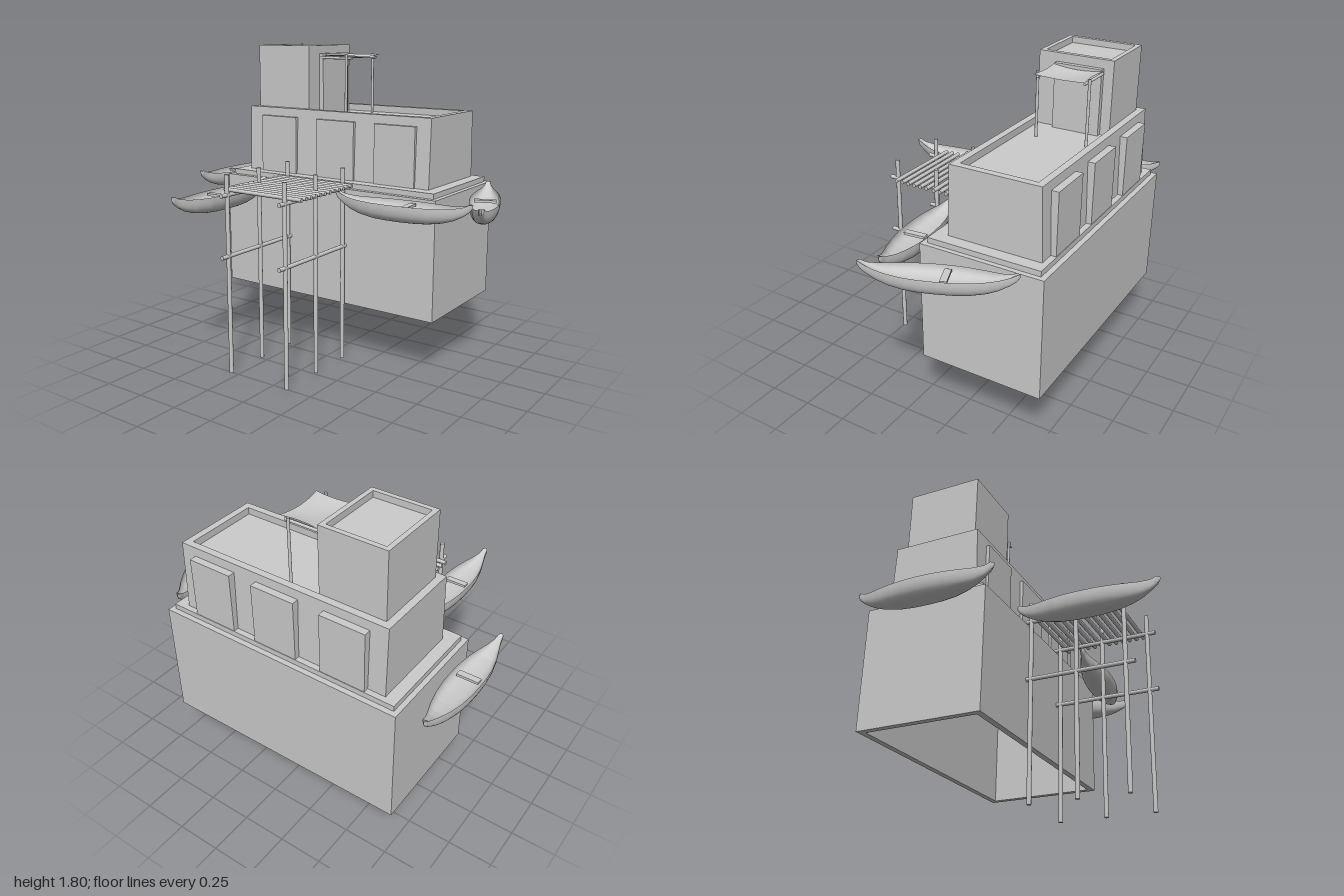
import * as THREE from 'three';
import { ParametricGeometry } from 'three/addons/geometries/ParametricGeometry.js';

const mat = new THREE.MeshStandardMaterial({ color: 0xcccccc });
const thin = new THREE.MeshStandardMaterial({ color: 0xcccccc, side: THREE.DoubleSide });

function add(parent, name, geometry, material = mat) {
  const mesh = new THREE.Mesh(geometry, material);
  mesh.name = name;
  parent.add(mesh);
  return mesh;
}

// Box given by its limits
function block(parent, name, x0, x1, y0, y1, z0, z1) {
  const g = new THREE.BoxGeometry(x1 - x0, y1 - y0, z1 - z0);
  g.translate((x0 + x1) / 2, (y0 + y1) / 2, (z0 + z1) / 2);
  return add(parent, name, g);
}

// Four upright walls with an open middle
function walls(parent, name, x0, x1, y0, y1, z0, z1, t) {
  const rect = (Type, d) => {
    const s = new Type();
    s.moveTo(x0 + d, -z1 + d).lineTo(x1 - d, -z1 + d).lineTo(x1 - d, -z0 - d).lineTo(x0 + d, -z0 - d).closePath();
    return s;
  };
  const shape = rect(THREE.Shape, 0);
  shape.holes.push(rect(THREE.Path, t));
  const g = new THREE.ExtrudeGeometry(shape, { depth: y1 - y0, bevelEnabled: false });
  g.rotateX(-Math.PI / 2).translate(0, y0, 0);
  return add(parent, name, g);
}

// Round pole between two points
function pole(parent, name, a, b, r) {
  const from = new THREE.Vector3(...a), to = new THREE.Vector3(...b);
  const dir = to.clone().sub(from);
  const m = add(parent, name, new THREE.CylinderGeometry(r, r, dir.length(), 10));
  m.position.copy(from).add(to).multiplyScalar(0.5);
  m.quaternion.setFromUnitVectors(new THREE.Vector3(0, 1, 0), dir.normalize());
}

// Interpolate rows of [position, ...values] smoothly
function along(rows, t) {
  let i = 0;
  while (i < rows.length - 2 && t > rows[i + 1][0]) i++;
  const a = rows[i], b = rows[i + 1], k = (t - a[0]) / (b[0] - a[0]);
  return a.map((v, j) => v + (b[j] - v) * k);
}

// Hull stations: distance from middle, half width, gunwale, keel, inner floor
const stations = [
  [0, 0.083, 1.0, 0.9, 0.945],
  [0.2, 0.081, 1.0, 0.901, 0.945],
  [0.4, 0.072, 1.0, 0.906, 0.95],
  [0.6, 0.054, 1.002, 0.919, 0.96],
  [0.75, 0.035, 1.006, 0.938, 0.978],
  [0.88, 0.018, 1.016, 0.966, 1.005],
  [0.94, 0.014, 1.026, 0.984, 1.022],
  [0.985, 0.013, 1.038, 1.0, 1.038],
  [1, 0, 1.03, 1.015, 1.03],
];

function canoe(parent, x, z, angle) {
  const g = new THREE.Group();
  g.name = 'canoe';
  const skin = (inner) => new ParametricGeometry((u, v, p) => {
    const s = 2 * v - 1, [, w, top, keel, floor] = along(stations, Math.abs(s));
    const a = Math.PI * u, c = Math.cos(a), d = Math.sin(a);
    const bottom = inner ? floor : keel;
    // rounded, slightly boxy cross-section
    p.set(w * Math.sign(c) * Math.abs(c) ** 0.7, top - (top - bottom) * d ** 0.85, s * 0.395);
  }, 16, 48);
  add(g, 'hull', skin(false), thin);
  add(g, 'hullInside', skin(true), thin);
  block(g, 'seat', -0.06, 0.06, 0.978, 0.992, 0.022, 0.058);
  g.position.set(x, 0, z);
  g.rotation.y = angle;
  parent.add(g);
}

export function createModel() {
  const model = new THREE.Group();
  model.name = 'riversideHouse';

  // Hollow foundation, open underneath, with a low step on top
  const base = new THREE.Group();
  base.name = 'foundation';
  walls(base, 'foundationWalls', -0.785, 0.663, 0.33, 1.01, -0.76, -0.06, 0.035);
  block(base, 'foundationTop', -0.76, 0.64, 0.98, 1.009, -0.735, -0.085);
  block(base, 'step', -0.757, 0.636, 1.0, 1.04, -0.73, -0.09);
  model.add(base);

  // Main storey, its long walls leaning slightly inward
  const house = new THREE.Group();
  house.name = 'house';
  const main = walls(house, 'houseWalls', -0.69, 0.565, 1.03, 1.43, -0.685, -0.178, 0.04);
  const p = main.geometry.attributes.position;
  for (let i = 0; i < p.count; i++) {
    p.setZ(i, -0.4315 + (p.getZ(i) + 0.4315) * (1 + 0.13 * (1.43 - p.getY(i))));
  }
  main.geometry.computeVertexNormals();
  block(house, 'houseRoof', -0.67, 0.545, 1.36, 1.39, -0.67, -0.2);
  for (const x of [-0.46, -0.05, 0.348]) {
    block(house, 'frontPanel', x - 0.13, x + 0.13, 1.03, 1.38, -0.21, -0.155);
    block(house, 'backPanel', x - 0.13, x + 0.13, 1.03, 1.38, -0.727, -0.66);
  }
  model.add(house);

  // Roof tower with its door
  const tower = new THREE.Group();
  tower.name = 'tower';
  walls(tower, 'towerWalls', -0.65, -0.275, 1.38, 1.8, -0.645, -0.215, 0.027);
  block(tower, 'towerRoof', -0.635, -0.29, 1.73, 1.765, -0.63, -0.23);
  block(tower, 'towerDoor', -0.29, -0.246, 1.38, 1.752, -0.59, -0.32);
  model.add(tower);

  // Awning: two posts, two rails and a sagging cloth
  const awning = new THREE.Group();
  awning.name = 'awning';
  for (const s of [-1, 1]) {
    const z = -0.457 + s * 0.146;
    pole(awning, 'awningPost', [-0.075, 1.38, z], [-0.075, 1.75, z], 0.008);
    pole(awning, 'awningRail', [-0.265, 1.728, z - s * 0.014], [-0.045, 1.728, z - s * 0.014], 0.008);
  }
  add(awning, 'awningCloth', new ParametricGeometry((u, v, q) => {
    const a = 2 * u - 1, b = 2 * v - 1;
    q.set(
      -0.135 + a * (0.115 - 0.012 * (1 - b * b)),
      1.745 - 0.02 * (1 - b * b) * (1 - 0.5 * a * a),
      -0.457 + b * (0.143 - 0.012 * (1 - a * a)));
  }, 14, 14), thin);
  model.add(awning);

  // Landing stage on stilts
  const pier = new THREE.Group();
  pier.name = 'pier';
  for (const x of [-0.303, 0.09]) {
    for (const z of [0.497, 0.227, -0.035]) pole(pier, 'stilt', [x, 0, z], [x, 1.135, z], 0.0125);
    pole(pier, 'lowerBeam', [x, 0.68, -0.27], [x, 0.68, 0.55], 0.012);
    pole(pier, 'deckBeam', [x, 1.022, -0.27], [x, 1.022, 0.545], 0.012);
  }
  for (let i = 0; i < 12; i++) {
    const z = -0.012 + i * 0.0415 + (i > 5 ? 0.008 : 0);
    pole(pier, 'deckLog', [-0.357, 1.042, z], [0.168, 1.042, z], 0.0115);
  }
  model.add(pier);

  // Moored canoes
  canoe(model, -0.915, -0.335, 0);
  canoe(model, -0.467, 0.355, 0);
  canoe(model, 0.517, 0.045, Math.atan2(0.995, -0.1));
  canoe(model, 0.842, -0.288, Math.atan2(-0.37, -0.93));
  return model;
}
